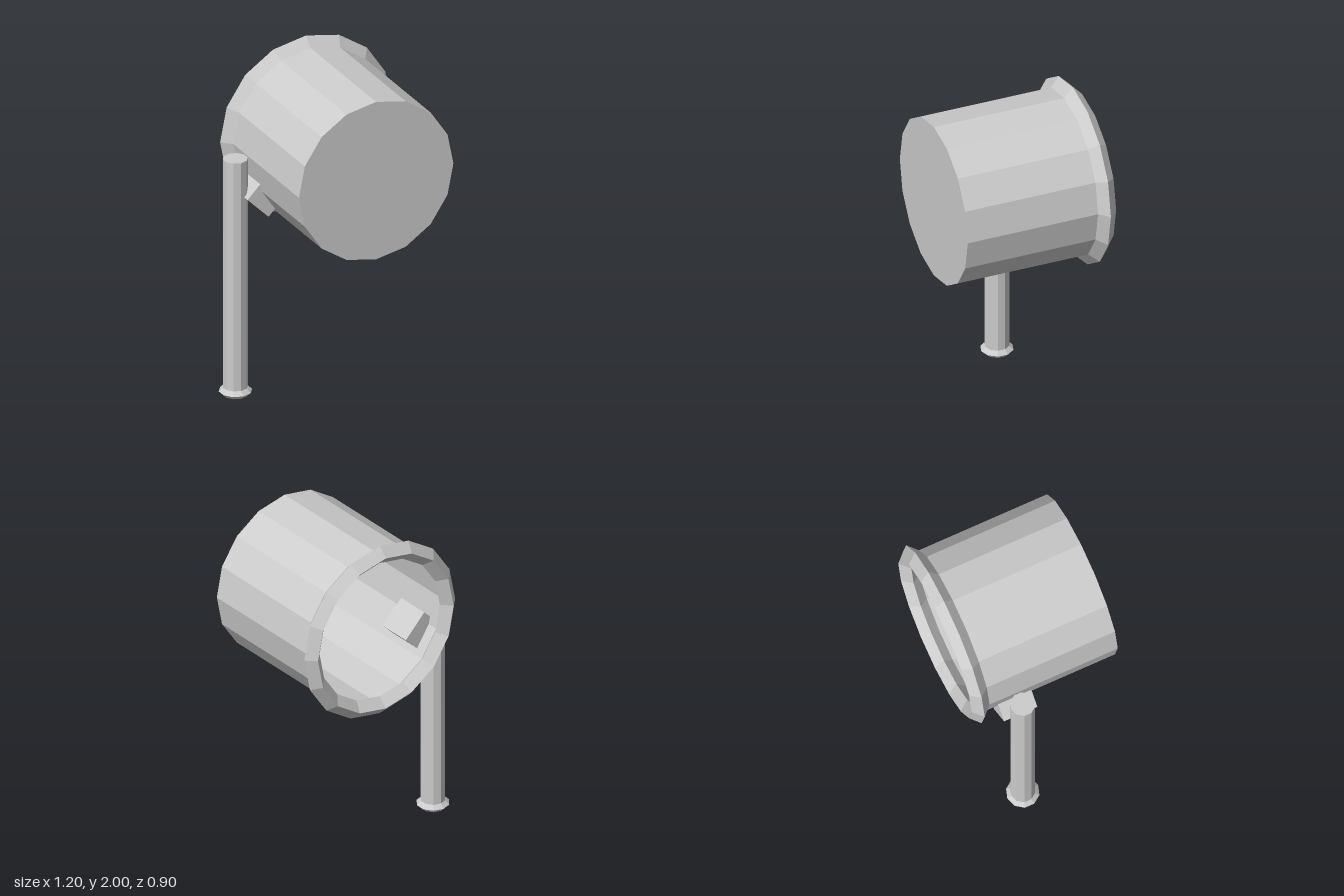
import * as THREE from 'three';

export function createModel() {
  const model = new THREE.Group();
  const grey = new THREE.MeshStandardMaterial({ color: 0xcccccc, flatShading: true, side: THREE.DoubleSide });
  grey.name = 'light grey';

  function add(name, geometry, x, y, z) {
    const mesh = new THREE.Mesh(geometry, grey);
    mesh.name = name;
    mesh.position.set(x, y, z);
    model.add(mesh);
    return mesh;
  }

  // Drum: thin shell along z, closed at the front and open at the back
  const drumX = 0.055, drumY = 1.457, drumR = 0.487;
  const rimZ = -0.395, frontZ = 0.45;
  const shell = new THREE.CylinderGeometry(drumR, drumR, frontZ - rimZ, 16, 1, true).rotateX(Math.PI / 2);
  add('drumShell', shell, drumX, drumY, (frontZ + rimZ) / 2);
  add('drumFront', new THREE.CircleGeometry(drumR, 16), drumX, drumY, frontZ);

  // Rim: diamond-section ring round the open end
  add('drumRim', new THREE.TorusGeometry(drumR, 0.055, 4, 16), drumX, drumY, rimZ);

  // Post with a matching ring as its foot
  const postX = -0.508, postZ = -0.171, postR = 0.071, footTube = 0.024, postTop = 1.457;
  const post = new THREE.CylinderGeometry(postR, postR, postTop - footTube, 10);
  add('post', post, postX, (postTop + footTube) / 2, postZ);
  const foot = new THREE.TorusGeometry(postR, footTube, 4, 10).rotateZ(Math.PI / 2).rotateX(Math.PI / 2);
  add('postFoot', foot, postX, footTube, postZ);

  // Tilted block joining the drum to the post
  const bracket = add('bracket', new THREE.BoxGeometry(0.172, 0.187, 0.205), -0.357, 1.231, -0.172);
  bracket.rotation.z = Math.PI / 4;

  return model;
}
